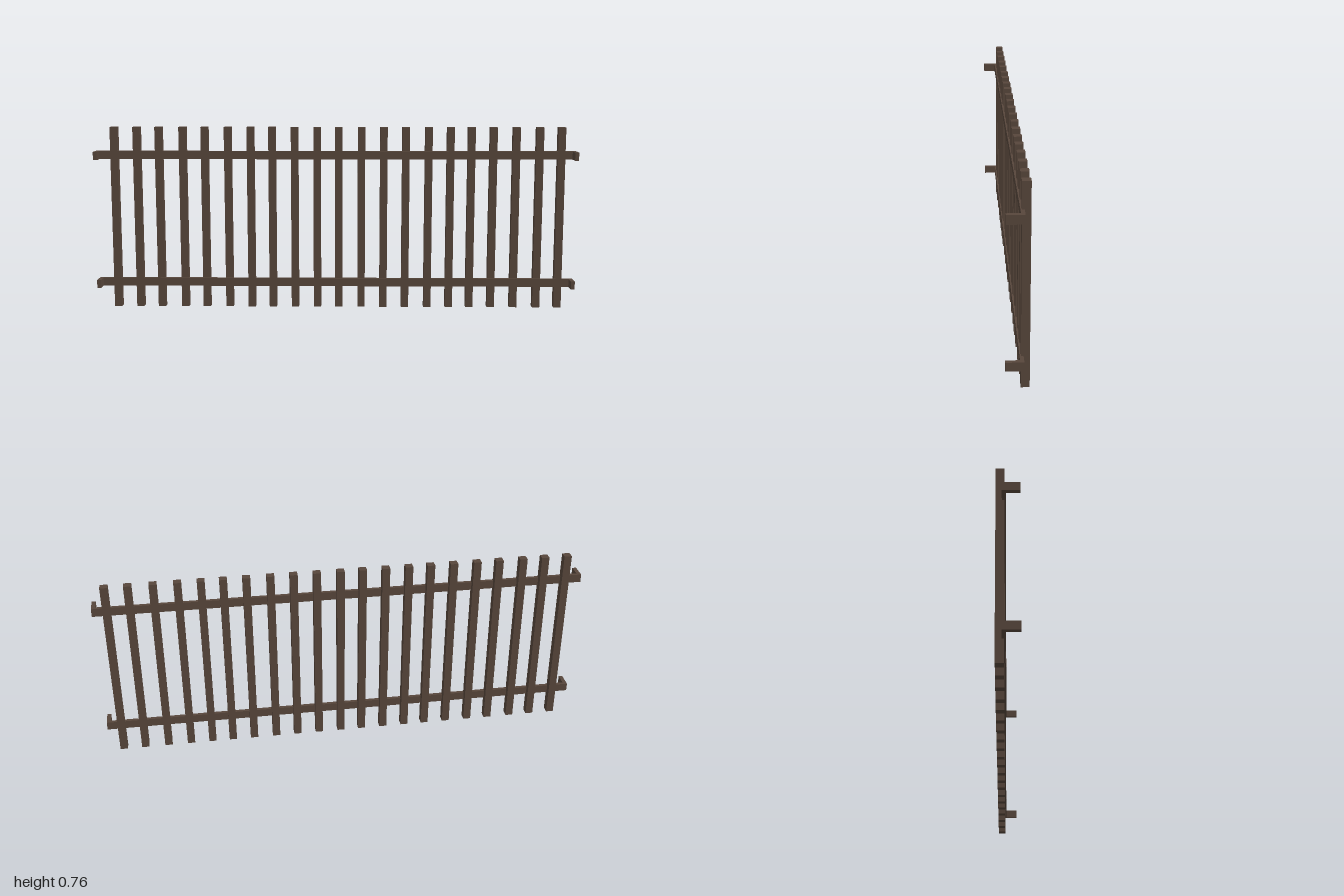
import * as THREE from 'three';

export function createModel() {
  const group = new THREE.Group();
  group.name = 'fence';
  const brown = new THREE.MeshStandardMaterial({ color: 0x57463b });
  brown.name = 'dark brown';

  // Upright bars, slightly irregularly spaced
  const barX = [-0.925, -0.83, -0.738, -0.638, -0.546, -0.449, -0.354, -0.264, -0.17, -0.076, 0.014,
    0.109, 0.202, 0.294, 0.389, 0.48, 0.567, 0.658, 0.753, 0.85, 0.94];
  const height = 0.762;
  const barGeometry = new THREE.BoxGeometry(0.031, height, 0.031);
  barX.forEach((x, i) => {
    const bar = new THREE.Mesh(barGeometry, brown);
    bar.name = `bar${i + 1}`;
    bar.position.set(x, height / 2, -0.0275);
    group.add(bar);
  });

  // Rails: flat strips with both ends bent forward, drawn in plan (shape y = -z)
  const back = 0.021, inner = 0.007, tip = -0.044, wall = 0.016, railHeight = 0.034;
  const plan = new THREE.Shape([
    [-1, tip], [-1 + wall, tip], [-1 + wall, inner], [1 - wall, inner],
    [1 - wall, tip], [1, tip], [1, back], [-1, back],
  ].map(([x, y]) => new THREE.Vector2(x, y)));
  const railGeometry = new THREE.ExtrudeGeometry(plan, { depth: railHeight, bevelEnabled: false });
  railGeometry.rotateX(-Math.PI / 2);
  for (const [name, y] of [['lowerRail', 0.09], ['upperRail', 0.629]]) {
    const rail = new THREE.Mesh(railGeometry, brown);
    rail.name = name;
    rail.position.y = y;
    group.add(rail);
  }
  return group;
}
